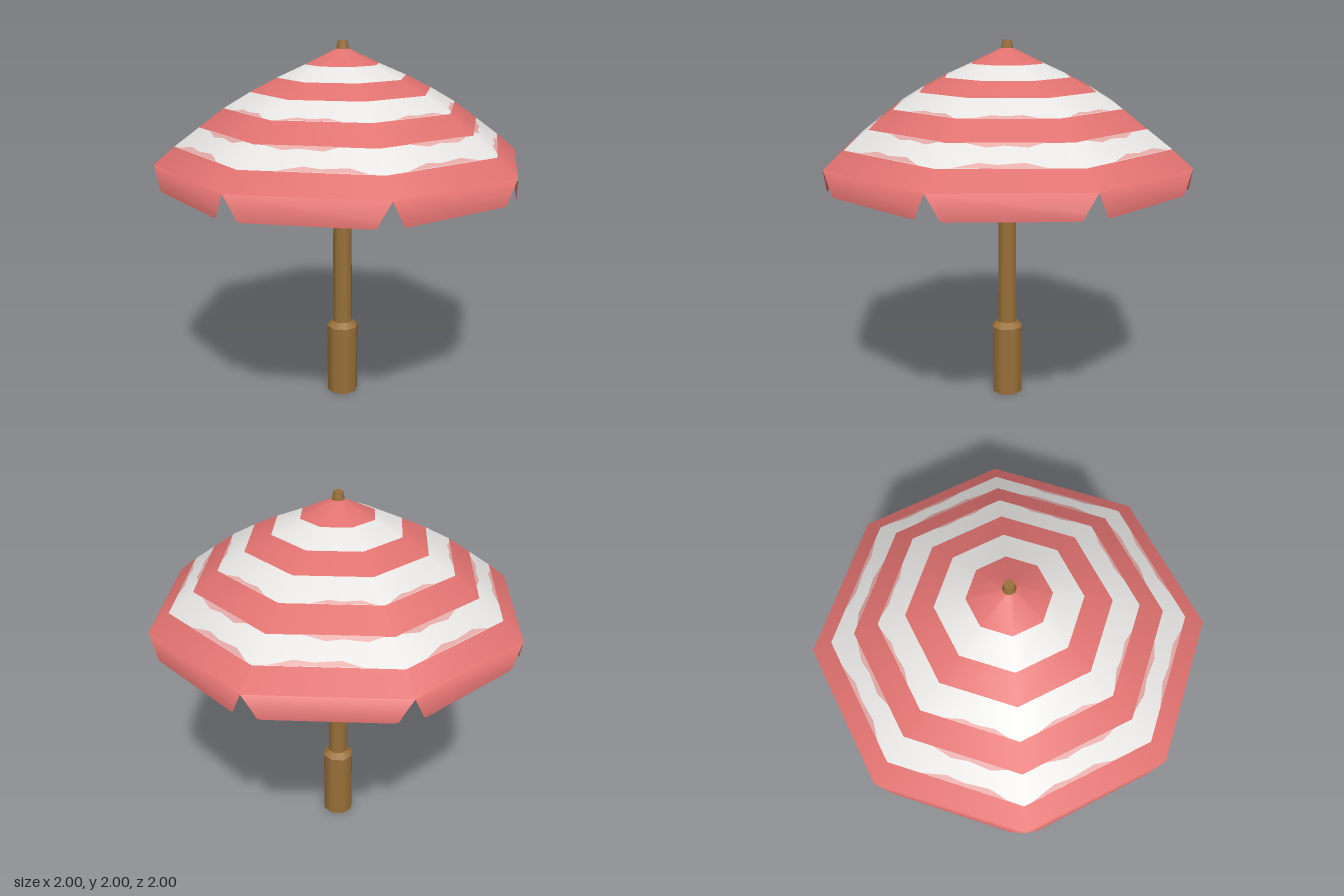
import * as THREE from 'three';

const RIBS = 8, STEP = Math.PI * 2 / RIBS;
// canopy rib profile at each stripe edge: [radius, height]
const PROFILE = [[0.03, 1.96], [0.2, 1.88], [0.35, 1.815], [0.49, 1.745], [0.63, 1.665], [0.76, 1.57], [0.89, 1.475], [1, 1.385]];

function material(name, color, side = THREE.FrontSide) {
  const m = new THREE.MeshStandardMaterial({ color, side });
  m.name = name;
  return m;
}
const red = material('redCloth', 0xe07270);
const flapRed = material('flapCloth', 0xe07270, THREE.DoubleSide);
const white = material('whiteCloth', 0xe6e5e3);
const faded = material('fadedCloth', 0xe2aaa7, THREE.DoubleSide);
const liningRed = material('redLining', 0xd07876, THREE.BackSide);
const liningWhite = material('whiteLining', 0xd6c9c6, THREE.BackSide);
const spot = material('paleSpot', 0xccd6d6, THREE.DoubleSide);
const wood = material('wood', 0x997039);

function add(parent, name, geometry, mat) {
  const mesh = new THREE.Mesh(geometry, mat);
  mesh.name = name;
  parent.add(mesh);
  return mesh;
}

// point on a flat canopy panel: ring band i, s from its inner to outer edge, t from rib to rib
function panelPoint(i, s, t, k, lift) {
  const [r0, y0] = PROFILE[i], [r1, y1] = PROFILE[i + 1];
  const a = new THREE.Vector3(Math.sin(k * STEP), 0, Math.cos(k * STEP));
  const b = new THREE.Vector3(Math.sin((k + 1) * STEP), 0, Math.cos((k + 1) * STEP));
  const p = a.lerp(b, t).multiplyScalar(r0 + (r1 - r0) * s);
  p.y = y0 + (y1 - y0) * s + lift;
  return p;
}

// thin patch fanned out from its first [s, t] corner
function addPatch(parent, name, band, corners, k, lift, mat) {
  const patch = new THREE.BufferGeometry().setFromPoints(corners.map(([s, t]) => panelPoint(band, s, t, k, lift)));
  const index = [];
  for (let i = 1; i < corners.length - 1; i++) index.push(0, i, i + 1);
  patch.setIndex(index);
  patch.computeVertexNormals();
  if (patch.attributes.normal.getY(0) * lift < 0) {
    patch.setIndex(index.reverse());
    patch.computeVertexNormals();
  }
  add(parent, name, patch, mat);
}

function buildFlap() {
  // hanging flap, its corners cut away to leave a notch at every rib
  const half = Math.sin(STEP / 2);
  const right = [[half - 0.085, -0.13], [half - 0.065, -0.122], [half - 0.05, -0.09], [half, 0]];
  const outline = [...right.map(([x, y]) => [-x, y]).reverse(), ...right];
  const flap = new THREE.ShapeGeometry(new THREE.Shape(outline.map(([x, y]) => new THREE.Vector2(x, y))));
  // normals roll softly over from the canopy slope
  const pos = flap.attributes.position, normal = flap.attributes.normal;
  for (let i = 0; i < pos.count; i++) {
    const tilt = 0.85 * (1 + pos.getY(i) / 0.13);
    normal.setXYZ(i, 0, Math.sin(tilt), Math.cos(tilt));
  }
  return flap.translate(0, 1.385, Math.cos(STEP / 2));
}

function buildCanopy() {
  const canopy = new THREE.Group();
  canopy.name = 'canopy';

  // striped octagonal bands, each with a duller lining
  for (let i = 0; i < PROFILE.length - 1; i++) {
    const [r0, y0] = PROFILE[i], [r1, y1] = PROFILE[i + 1];
    const band = new THREE.CylinderGeometry(r0, r1, y0 - y1, RIBS, 1, true);
    add(canopy, 'stripe' + (i + 1), band, i % 2 ? white : red).position.y = (y0 + y1) / 2;
    add(canopy, 'lining' + (i + 1), band, i % 2 ? liningWhite : liningRed).position.y = (y0 + y1) / 2 - 0.004;
  }

  const flap = buildFlap();
  for (let k = 0; k < RIBS; k++) {
    add(canopy, 'valanceFlap', flap, flapRed).rotation.y = (k + 0.5) * STEP;

    // uneven slivers where the dye has run into the white stripes: [band, edge, depth]
    for (const [band, edge, depth] of [[3, 1, -0.14], [5, 0, 0.2], [5, 1, -0.2]]) {
      const shift = 0.12 * Math.sin(k * 2.4 + band + edge * 2);
      const inner = edge + depth;
      addPatch(canopy, 'fadedEdge', band,
        [[edge, 0.18 + shift], [edge, 0.82 + shift], [inner, 0.68 + shift], [edge + depth * 0.6, 0.5 + shift], [inner, 0.36 + shift]],
        k, 0.002, faded);
    }

    // small pale spots on the lining of every other panel
    if (k % 2 === 0) {
      const corners = [];
      for (let j = 0; j < 10; j++) {
        const a = j * Math.PI / 5;
        corners.push([0.5 + 0.22 * Math.sin(a), 0.3 + 0.06 * Math.cos(a)]);
      }
      addPatch(canopy, 'liningSpot', 5, corners, k, -0.007, spot);
    }
  }
  return canopy;
}

function buildFrame() {
  const frame = new THREE.Group();
  frame.name = 'frame';

  // thick ground sleeve with a sloped shoulder
  add(frame, 'baseSleeve', new THREE.CylinderGeometry(0.088, 0.088, 0.4, 8), wood).position.y = 0.2;
  add(frame, 'sleeveShoulder', new THREE.CylinderGeometry(0.056, 0.088, 0.03, 8), wood).position.y = 0.415;

  // tapered pole and the tip above the cloth
  add(frame, 'pole', new THREE.CylinderGeometry(0.046, 0.056, 1.51, 8), wood).position.y = 1.175;
  add(frame, 'tip', new THREE.CylinderGeometry(0.025, 0.037, 0.055, 8), wood).position.y = 1.9725;

  // struts from the pole up to the canopy ribs
  const start = new THREE.Vector3(0, 1.42, 0.02), end = new THREE.Vector3(0, 1.69, 0.535);
  const along = end.clone().sub(start);
  const strut = new THREE.CylinderGeometry(0.013, 0.018, along.length(), 6);
  strut.applyQuaternion(new THREE.Quaternion().setFromUnitVectors(new THREE.Vector3(0, 1, 0), along.normalize()));
  const middle = start.add(end).multiplyScalar(0.5);
  strut.translate(middle.x, middle.y, middle.z);
  for (let k = 0; k < RIBS; k++) add(frame, 'strut', strut, wood).rotation.y = k * STEP;
  return frame;
}

export function createModel() {
  const model = new THREE.Group();
  model.name = 'beachUmbrella';
  model.add(buildFrame(), buildCanopy());
  return model;
}
